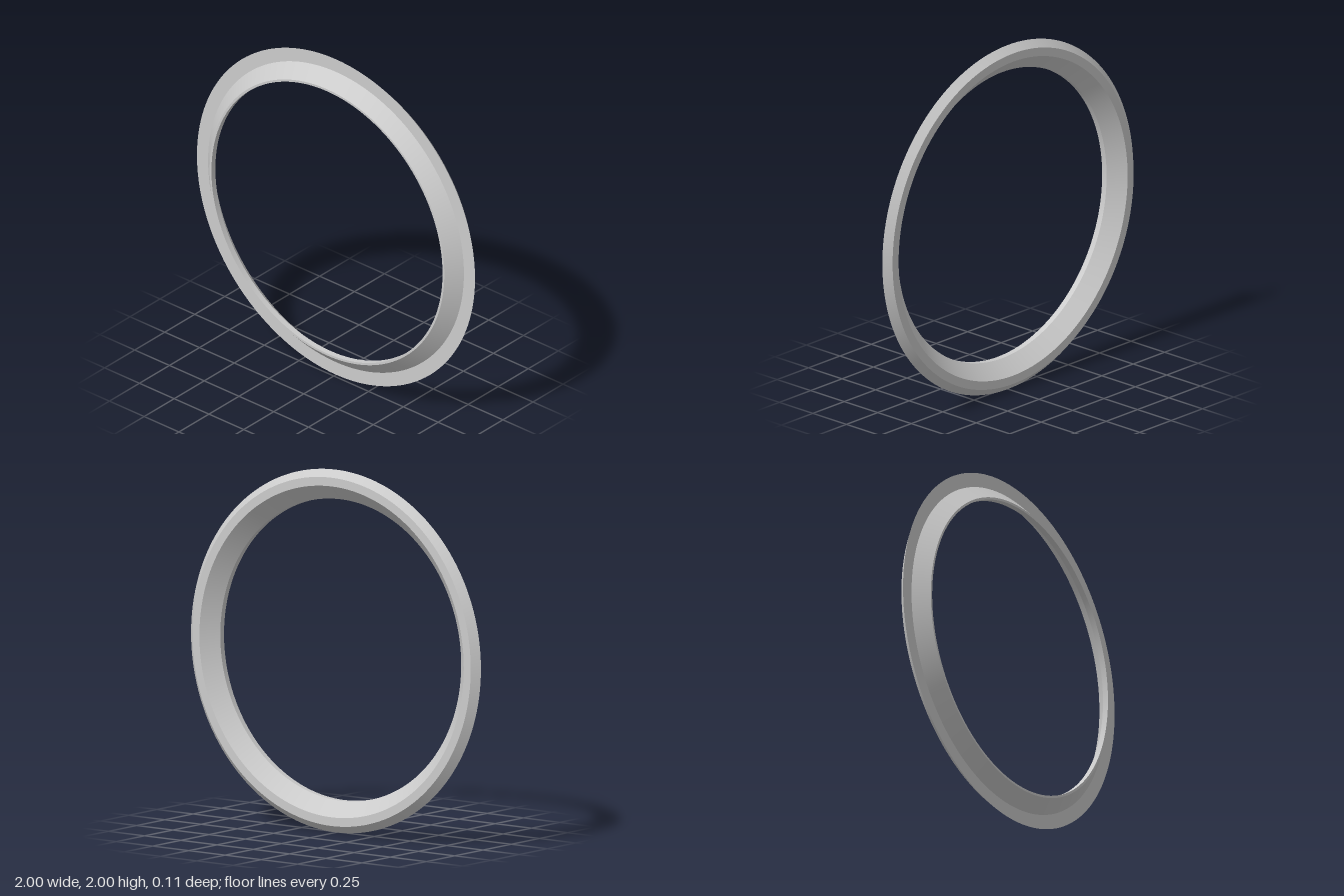
import * as THREE from 'three';
import { toCreasedNormals } from 'three/addons/utils/BufferGeometryUtils.js';

export function createModel() {
  const group = new THREE.Group();
  group.name = 'bezelRing';

  // Closed ring section as [radius, depth], counterclockwise from the back rim
  const section = [
    [0.96, -0.057], [1, -0.018],      // bevelled outer edge of the flange
    [0.92, -0.018],                   // flat front of the flange
    [0.844, 0.057], [0.831, 0.057],   // sloping collar and its narrow lip
    [0.831, 0.024], [0.912, -0.057],  // straight bore, then flared back
    [0.96, -0.057],                   // flat back face
  ].map(([r, z]) => new THREE.Vector2(r, z));

  // Turn the section round the axis, face it to +z and stand it on the ground
  const turned = new THREE.LatheGeometry(section, 160);
  turned.rotateX(Math.PI / 2);
  const geometry = toCreasedNormals(turned, Math.PI / 6);

  const ring = new THREE.Mesh(geometry, new THREE.MeshStandardMaterial({ color: 0xcccccc }));
  ring.name = 'ring';
  ring.position.y = 1;
  group.add(ring);
  return group;
}
